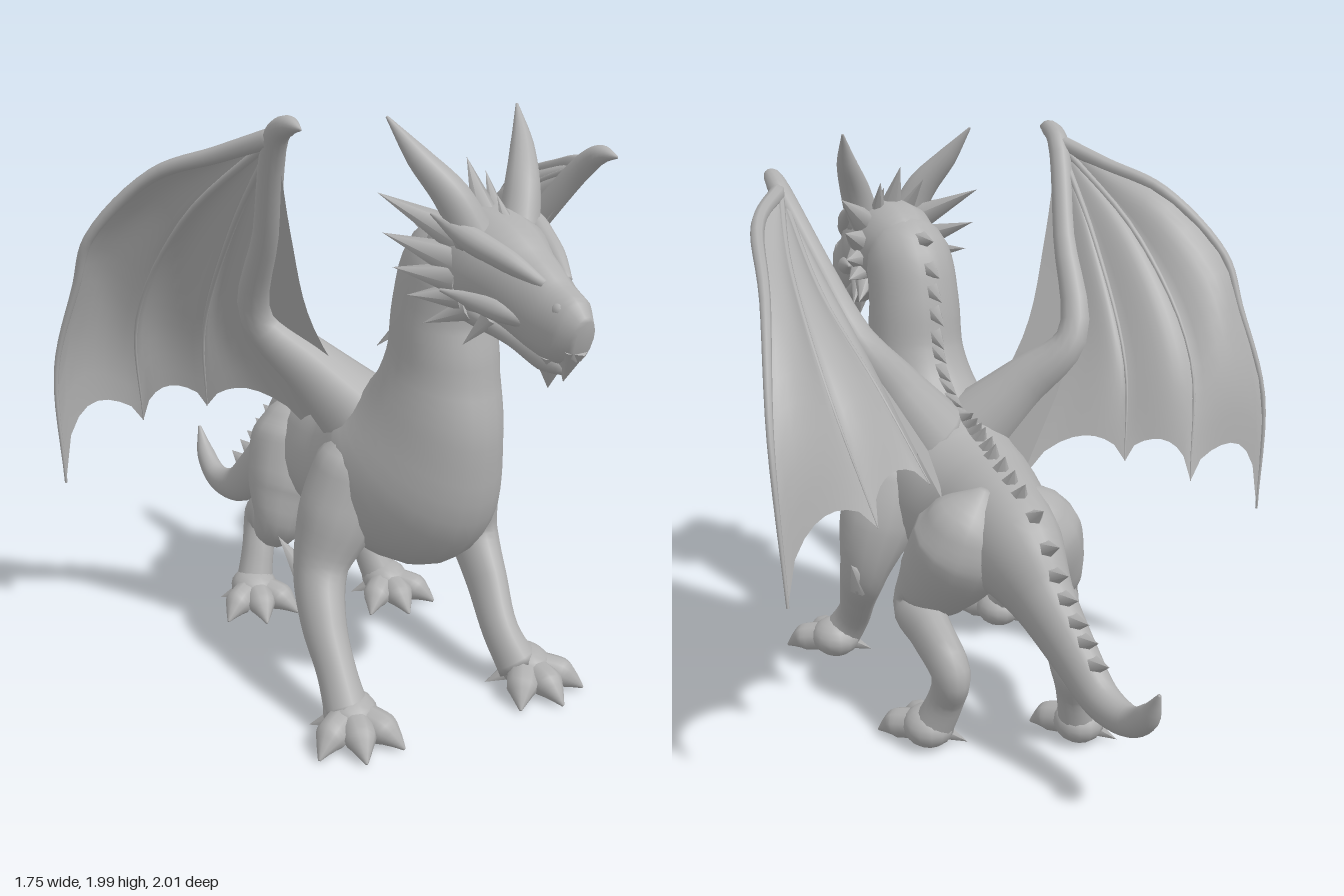
import * as THREE from 'three';

const V = (x, y, z) => new THREE.Vector3(x, y, z);
const HEADING = 0.47; // the body faces diagonally
const SIDE = V(Math.cos(HEADING), 0, -Math.sin(HEADING));

const hide = new THREE.MeshStandardMaterial({ color: 0xb0b0b0, side: THREE.DoubleSide });
hide.name = 'grey hide';

function part(parent, name, geometry) {
  const mesh = new THREE.Mesh(geometry, hide);
  mesh.name = name;
  parent.add(mesh);
  return mesh;
}

// Smooth skin over rows of [x, y, z, side radius, top radius, bottom radius]
function loft(parent, name, rows, side = null, steps = 5, sides = 14) {
  const n = (rows.length - 1) * steps;
  const path = new THREE.CatmullRomCurve3(rows.map(r => V(r[0], r[1], r[2])));
  const radii = new THREE.CatmullRomCurve3(rows.map(r => V(r[3], r[4] ?? r[3], r[5] ?? r[4] ?? r[3])));
  const frenet = side ? null : path.computeFrenetFrames(n);
  const pos = [], idx = [], frames = [];
  for (let i = 0; i <= n; i++) {
    const k = i / n;
    const c = path.getPoint(k), rad = radii.getPoint(k), t = path.getTangent(k);
    // Frenet frames are spaced by arc length, so square the normal to this tangent
    const s = (side ?? frenet.normals[i]).clone();
    s.addScaledVector(t, -s.dot(t)).normalize();
    const u = t.clone().cross(s);
    frames.push({ c, t, s, u, top: rad.y });
    for (let j = 0; j < sides; j++) {
      const a = j / sides * Math.PI * 2, sn = Math.sin(a);
      const p = c.clone().addScaledVector(s, rad.x * Math.cos(a)).addScaledVector(u, sn * (sn > 0 ? rad.y : rad.z));
      pos.push(p.x, p.y, p.z);
      if (i < n) {
        const A = i * sides + j, B = i * sides + (j + 1) % sides;
        idx.push(A, B, A + sides, B, B + sides, A + sides);
      }
    }
  }
  const first = frames[0].c, last = frames[n].c, m = pos.length / 3;
  pos.push(first.x, first.y, first.z, last.x, last.y, last.z);
  for (let j = 0; j < sides; j++) {
    const q = (j + 1) % sides;
    idx.push(m, q, j, m + 1, n * sides + j, n * sides + q);
  }
  const g = new THREE.BufferGeometry();
  g.setAttribute('position', new THREE.Float32BufferAttribute(pos, 3));
  g.setIndex(idx);
  g.computeVertexNormals();
  part(parent, name, g);
  return frames;
}

function spike(parent, name, base, tip, r, sides = 6) {
  const d = tip.clone().sub(base), len = d.length();
  const mesh = part(parent, name, new THREE.ConeGeometry(r, len, sides));
  mesh.position.copy(base).addScaledVector(d, 0.5);
  mesh.quaternion.setFromUnitVectors(V(0, 1, 0), d.normalize());
}

// Foot with three clawed toes and a small thumb, facing its own +z
function foot(parent, name, x, z, turn, size) {
  const g = new THREE.Group();
  g.name = name;
  g.position.set(x, 0, z);
  g.rotation.y = turn;
  g.scale.setScalar(size);
  parent.add(g);
  const heel = part(g, 'heel', new THREE.SphereGeometry(0.09, 14, 10));
  heel.scale.set(1.05, 0.85, 1.2);
  heel.position.set(0, 0.085, 0);
  for (const a of [-0.75, 0, 0.75]) {
    const s = Math.sin(a), c = Math.cos(a);
    loft(g, 'toe', [[0, 0.085, 0, 0.06], [s * 0.07, 0.075, c * 0.07, 0.057], [s * 0.13, 0.064, c * 0.13, 0.056],
      [s * 0.17, 0.045, c * 0.17, 0.035], [s * 0.215, 0.016, c * 0.215, 0.005]], null, 4, 10);
  }
  spike(g, 'thumb', V(-0.05, 0.06, -0.02), V(-0.13, 0.02, -0.06), 0.035);
}

// Membrane stretched over finger curves, scalloped between the tips
function membrane(parent, fingers, billow, scallop) {
  const U = 8, W = 16, pos = [], idx = [];
  const curves = fingers.map(f => new THREE.CatmullRomCurve3(f.map(p => V(...p))));
  const cols = (curves.length - 1) * U;
  for (let i = 0; i <= cols; i++) {
    const k = Math.min(Math.floor(i / U), curves.length - 2), u = i / U - k;
    const dip = Math.sin(Math.PI * u);
    for (let j = 0; j <= W; j++) {
      const v = j / W * (1 - scallop * Math.sqrt(dip));
      const p = curves[k].getPoint(v).lerp(curves[k + 1].getPoint(v), u);
      // billow backwards
      const b = billow * dip * Math.sin(Math.PI * v);
      pos.push(p.x - b * 0.45, p.y, p.z - b * 0.9);
      if (i < cols && j < W) {
        const a = i * (W + 1) + j, c = a + W + 1;
        idx.push(a, a + 1, c, a + 1, c + 1, c);
      }
    }
  }
  const g = new THREE.BufferGeometry();
  g.setAttribute('position', new THREE.Float32BufferAttribute(pos, 3));
  g.setIndex(idx);
  g.computeVertexNormals();
  part(parent, 'membrane', g);
}

function wing(parent, name, { base, elbow, wrist, claw, attach, front, lead, second, third }) {
  const g = new THREE.Group();
  g.name = name;
  parent.add(g);
  const mid = (a, b) => a.map((v, i) => (v + b[i]) / 2);
  const upper = mid(base, elbow), fore = mid(elbow, wrist);
  loft(g, 'arm', [[...base, 0.15], [...upper, 0.1], [...elbow, 0.06], [...fore, 0.043], [...wrist, 0.038],
    [...mid(wrist, claw).map((v, i) => v + (i === 1 ? 0.02 : 0)), 0.03], [...claw, 0.004]]);
  const fingers = [lead, second, third].map(f => [wrist, ...f]);
  fingers.forEach((f, k) => loft(g, 'finger', f.map((p, i) =>
    [...p, (k ? 0.014 : 0.03) * (1 - 0.85 * i / (f.length - 1))]), null, 6, 8));
  membrane(g, [...fingers, [wrist, fore, elbow, attach]], 0.05, 0.1);
  // Skin between the arm and the flank, and across the front of the elbow
  membrane(g, [[wrist, fore, elbow, attach], [wrist, fore, elbow, base], [wrist, ...front, base]], 0, 0);
}

export function createModel() {
  const dragon = new THREE.Group();
  dragon.name = 'dragon';

  // Tail, torso and neck as one skin
  const spine = loft(dragon, 'body', [
    [-0.33, 0.5, -0.99, 0.006], [-0.31, 0.4, -0.925, 0.035, 0.04], [-0.27, 0.335, -0.83, 0.045, 0.05], [-0.2, 0.345, -0.71, 0.057, 0.07],
    [-0.12, 0.455, -0.59, 0.072, 0.095], [-0.04, 0.58, -0.48, 0.095, 0.125], [0.03, 0.68, -0.36, 0.145, 0.2, 0.17],
    [0.08, 0.71, -0.2, 0.18, 0.22, 0.19], [0.14, 0.72, 0, 0.22, 0.25, 0.24], [0.21, 0.75, 0.15, 0.25, 0.27, 0.3],
    [0.285, 0.84, 0.3, 0.265, 0.27, 0.385], [0.335, 1.02, 0.4, 0.205, 0.22, 0.305], [0.36, 1.2, 0.44, 0.17, 0.18, 0.21],
    [0.365, 1.38, 0.46, 0.162, 0.17, 0.16], [0.385, 1.52, 0.5, 0.155, 0.165, 0.15], [0.45, 1.6, 0.6, 0.1],
  ], SIDE, 5, 24);

  // Row of plates down the back
  for (let i = 18; i < spine.length - 5; i += 2) {
    const f = spine[i];
    const base = f.c.clone().addScaledVector(f.u, f.top - 0.025);
    spike(dragon, 'back spike', base, base.clone().addScaledVector(f.u, 0.08).addScaledVector(f.t, -0.05), 0.036, 5);
  }

  // Legs
  loft(dragon, 'leftForeleg', [[0.39, 0.96, 0.2, 0.02], [0.45, 0.83, 0.17, 0.12], [0.5, 0.66, 0.14, 0.14], [0.56, 0.47, 0.13, 0.085, 0.1],
    [0.59, 0.33, 0.24, 0.065, 0.085], [0.615, 0.19, 0.36, 0.06, 0.07], [0.67, 0.08, 0.42, 0.075]], SIDE);
  loft(dragon, 'rightForeleg', [[0.13, 0.96, 0.33, 0.02], [0.1, 0.83, 0.33, 0.12], [0.055, 0.66, 0.33, 0.135], [-0.01, 0.47, 0.37, 0.09, 0.1],
    [-0.015, 0.33, 0.47, 0.073, 0.085], [0.015, 0.19, 0.58, 0.064, 0.07], [0.04, 0.08, 0.65, 0.075]], SIDE);
  loft(dragon, 'leftHindLeg', [[0.14, 0.9, -0.29, 0.02], [0.18, 0.8, -0.28, 0.14], [0.21, 0.7, -0.25, 0.18], [0.29, 0.56, -0.18, 0.15],
    [0.365, 0.44, -0.15, 0.09], [0.325, 0.395, -0.28, 0.07, 0.09], [0.265, 0.32, -0.43, 0.062, 0.08], [0.28, 0.2, -0.38, 0.06, 0.065], [0.33, 0.07, -0.34, 0.07]], SIDE);
  loft(dragon, 'rightHindLeg', [[0.05, 0.9, -0.24, 0.02], [0.02, 0.8, -0.22, 0.14], [-0.01, 0.7, -0.19, 0.18], [-0.06, 0.56, -0.13, 0.15],
    [-0.1, 0.44, -0.1, 0.09], [-0.115, 0.395, -0.26, 0.07, 0.09], [-0.13, 0.32, -0.42, 0.062, 0.08], [-0.15, 0.2, -0.38, 0.06, 0.065], [-0.17, 0.07, -0.34, 0.07]], SIDE);
  foot(dragon, 'leftForefoot', 0.69, 0.4, 0.45, 0.95);
  foot(dragon, 'rightForefoot', 0.05, 0.64, 0.1, 0.95);
  foot(dragon, 'leftHindFoot', 0.34, -0.33, 0.3, 0.92);
  foot(dragon, 'rightHindFoot', -0.17, -0.33, 0.15, 0.92);
  spike(dragon, 'elbow spike', V(0.57, 0.42, 0.1), V(0.6, 0.53, 0.0), 0.05);
  spike(dragon, 'elbow spike', V(-0.05, 0.42, 0.34), V(-0.14, 0.55, 0.28), 0.05);

  // Wings, each held in its own pose
  wing(dragon, 'leftWing', {
    base: [0.3, 0.93, 0.16], elbow: [0.56, 1.33, 0.07], wrist: [0.82, 1.79, 0.36], claw: [0.88, 1.83, 0.48],
    attach: [0.28, 0.83, -0.18], front: [[0.7, 1.55, 0.28], [0.54, 1.27, 0.21]],
    lead: [[0.86, 1.73, 0], [0.8, 1.57, -0.47], [0.775, 1.22, -0.75], [0.74, 0.74, -0.84]],
    second: [[0.75, 1.6, -0.15], [0.62, 1.28, -0.5], [0.48, 0.9, -0.62]],
    third: [[0.67, 1.5, 0], [0.48, 1.25, -0.3], [0.32, 0.98, -0.46]],
  });
  wing(dragon, 'rightWing', {
    base: [0.17, 0.93, 0.24], elbow: [-0.19, 1.29, 0.18], wrist: [-0.17, 1.93, 0.58], claw: [-0.12, 1.97, 0.74],
    attach: [0, 0.83, 0.02], front: [[-0.11, 1.6, 0.43], [-0.03, 1.29, 0.3]],
    lead: [[-0.33, 1.86, 0.45], [-0.52, 1.78, 0.32], [-0.72, 1.57, 0.21], [-0.77, 1.4, 0.15], [-0.85, 1.1, 0.08], [-0.84, 0.69, 0.05]],
    second: [[-0.43, 1.62, 0.25], [-0.58, 1.25, 0.03], [-0.57, 0.85, -0.1]],
    third: [[-0.28, 1.6, 0.3], [-0.36, 1.22, 0.06], [-0.35, 0.91, -0.05]],
  });

  // Head, built facing +z and turned to the heading
  const head = new THREE.Group();
  head.name = 'head';
  head.position.set(0.375, 0, 0.47);
  head.rotation.y = HEADING;
  dragon.add(head);
  const X = V(1, 0, 0);
  loft(head, 'skull', [[0, 1.53, -0.04, 0.1], [0, 1.56, 0.08, 0.145, 0.16, 0.15], [0, 1.55, 0.22, 0.155, 0.165, 0.17],
    [0, 1.5, 0.34, 0.115, 0.14, 0.14], [0, 1.45, 0.44, 0.09, 0.125, 0.13], [0, 1.425, 0.53, 0.072, 0.105, 0.11],
    [0, 1.41, 0.585, 0.035, 0.06, 0.07]], X);
  loft(head, 'jaw', [[0, 1.45, 0.04, 0.09, 0.06, 0.08], [0, 1.42, 0.2, 0.105, 0.05, 0.065], [0, 1.375, 0.34, 0.08, 0.05, 0.045],
    [0, 1.33, 0.45, 0.055, 0.06, 0.045], [0, 1.31, 0.52, 0.02]], X);
  spike(head, 'chin point', V(0, 1.34, 0.46), V(0, 1.235, 0.45), 0.055);
  spike(head, 'beak point', V(0, 1.38, 0.54), V(0, 1.27, 0.51), 0.05);
  spike(head, 'crest spike', V(0, 1.66, 0.17), V(0, 1.85, 0.06), 0.05);
  spike(head, 'crest spike', V(0, 1.64, 0.28), V(0, 1.76, 0.2), 0.035);
  // Rear fringe: [base, tip, radius]
  const fringe = [[[0.1, 1.64, 0.16], [0.27, 1.76, -0.02], 0.055], [[0.11, 1.57, 0.16], [0.255, 1.64, -0.01], 0.055],
    [[0.12, 1.52, 0.17], [0.24, 1.54, 0.02], 0.05], [[0.11, 1.47, 0.18], [0.215, 1.46, 0.06], 0.045],
    [[0.09, 1.43, 0.19], [0.17, 1.37, 0.08], 0.04], [[0.08, 1.42, 0.28], [0.13, 1.33, 0.22], 0.03],
    [[0.05, 1.66, 0.16], [0.085, 1.8, 0.05], 0.035]];
  for (const m of [1, -1]) {
    loft(head, 'horn', [[m * 0.08, 1.63, 0.21, 0.065], [m * 0.135, 1.76, 0.16, 0.055],
      [m * 0.2, 1.87, 0.08, 0.036], [m * 0.25, 1.98, -0.005, 0.004]]);
    loft(head, 'brow', [[m * 0.045, 1.55, 0.46, 0.015], [m * 0.085, 1.6, 0.36, 0.033],
      [m * 0.125, 1.645, 0.25, 0.038], [m * 0.18, 1.71, 0.12, 0.004]]);
    loft(head, 'cheek', [[m * 0.06, 1.43, 0.44, 0.015], [m * 0.1, 1.46, 0.33, 0.035], [m * 0.17, 1.49, 0.16, 0.005]]);
    const nostril = part(head, 'nostril ridge', new THREE.SphereGeometry(0.025, 10, 8));
    nostril.position.set(m * 0.04, 1.49, 0.52);
    for (const [b, t, r] of fringe) spike(head, 'fringe spike', V(m * b[0], b[1], b[2]), V(m * t[0], t[1], t[2]), r);
  }
  return dragon;
}
